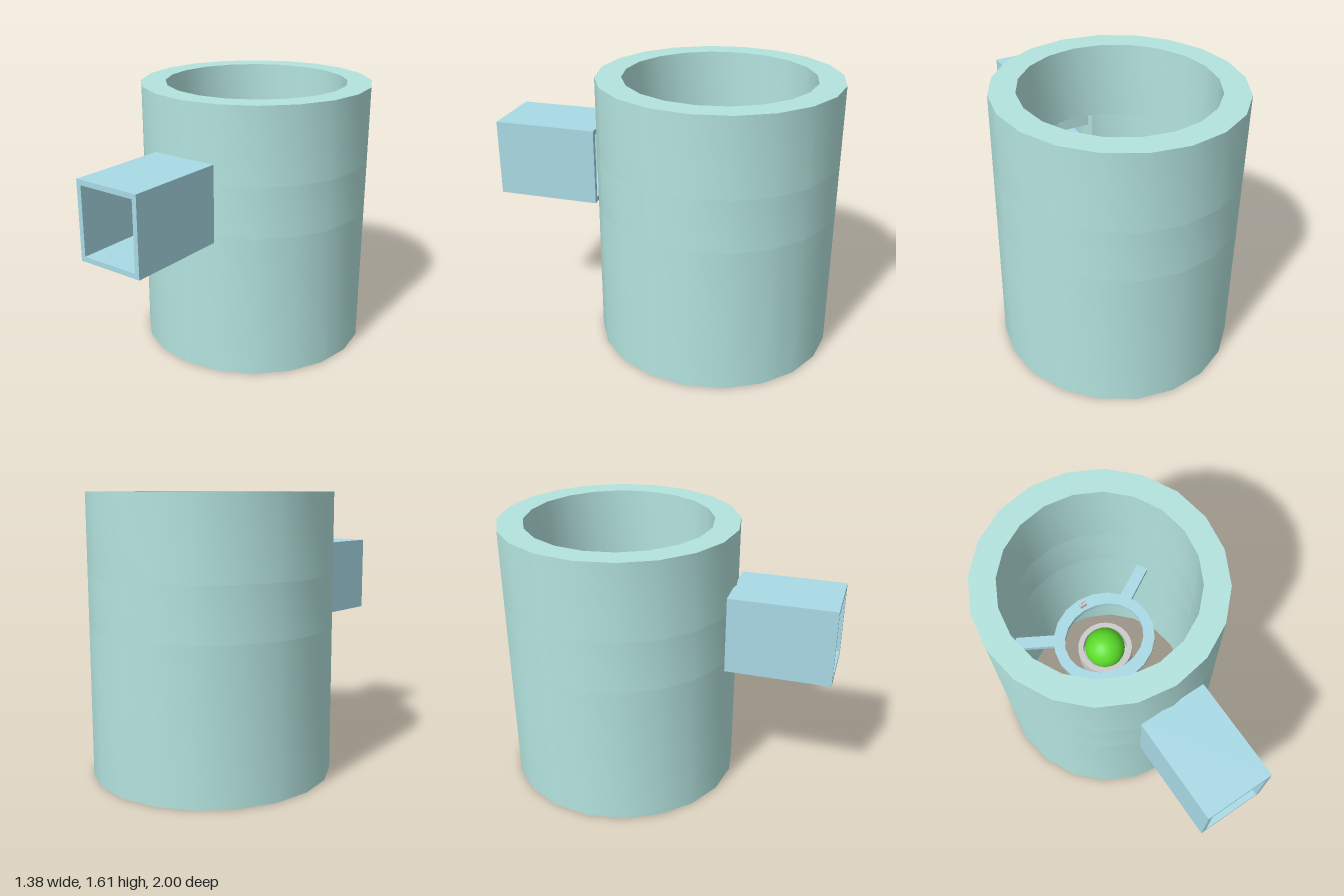
import * as THREE from 'three';
import { toCreasedNormals } from 'three/addons/utils/BufferGeometryUtils.js';

const CZ = -0.3; // z of the shaft axis
const paint = (color) => new THREE.MeshStandardMaterial({ color });

// Points of an ellipse seen from above, as (x, -z) pairs, starting at the front (+z)
function oval(rx, rz, n = 20) {
  return Array.from({ length: n }, (_, i) => {
    const a = (i / n) * Math.PI * 2;
    return new THREE.Vector2(rx * Math.sin(a), -rz * Math.cos(a));
  });
}

// Horizontal slab with an optional hole, from y0 to y1
function slab(points, hole, y0, y1) {
  const shape = new THREE.Shape(points);
  if (hole) shape.holes.push(new THREE.Path(hole));
  const g = new THREE.ExtrudeGeometry(shape, { depth: y1 - y0, bevelEnabled: false });
  g.rotateX(-Math.PI / 2);
  g.translate(0, y0, CZ);
  return toCreasedNormals(g, 0.5);
}

export function createModel() {
  const root = new THREE.Group();
  const teal = paint(0xb4e4df);
  const blue = paint(0xaadbe6);
  const green = paint(0x5cdc2a);
  const grey = paint(0xcccccc);

  function add(name, geometry, material, x = 0, y = 0, z = 0, parent = root) {
    const mesh = new THREE.Mesh(geometry, material);
    mesh.name = name;
    mesh.position.set(x, y, z);
    parent.add(mesh);
    return mesh;
  }
  const box = (w, h, d) => new THREE.BoxGeometry(w, h, d);

  // Round shaft wall: full rings below and above the doorway, an open ring beside it
  const FLOOR = 0.86, LINTEL = 1.16, TOP = 1.61, DOOR = 0.112;
  const outer = oval(0.69, 0.7), inner = oval(0.545, 0.55);
  const jamb = (ring, side) => {
    const t = DOOR / ring[1].x;
    const p = ring[0].clone().lerp(ring[1], t);
    p.x *= side;
    return p;
  };
  const open = (ring) => [jamb(ring, 1), ...ring.slice(1), jamb(ring, -1)];
  add('shaftWallLower', slab(outer, inner, 0, FLOOR), teal);
  add('shaftWallDoorLevel', slab([...open(outer), ...open(inner).reverse()], null, FLOOR, LINTEL), teal);
  add('shaftWallUpper', slab(outer, inner, LINTEL, TOP), teal);
  add('raisedDoor', box(DOOR * 2, 0.095, 0.04), teal, 0, 1.1125, 0.31);

  // Square entrance tunnel
  const rect = (S, w, y0, y1) => new S([
    new THREE.Vector2(-w, y0), new THREE.Vector2(w, y0),
    new THREE.Vector2(w, y1), new THREE.Vector2(-w, y1),
  ]);
  const frame = rect(THREE.Shape, 0.205, 0.83, 1.285);
  frame.holes.push(rect(THREE.Path, 0.177, FLOOR, 1.255));
  add('entranceTunnel', new THREE.ExtrudeGeometry(frame, { depth: 0.61, bevelEnabled: false }), blue, 0, 0, 0.39);

  // Ring walkway held by three arms
  add('walkwayRing', slab(oval(0.315, 0.3), oval(0.25, 0.22), 0.83, FLOOR), blue);
  for (let i = 0; i < 3; i++) {
    const arm = new THREE.Group();
    arm.name = 'walkwayArm';
    arm.position.z = CZ;
    arm.rotation.y = (i * Math.PI * 2) / 3;
    add('armDeck', box(0.073, 0.03, 0.28), blue, 0, 0.845, 0.415, arm);
    root.add(arm);
  }

  // Glowing ball resting in a round cup
  const cup = [[0, 0.52], [0.1, 0.52], [0.17, 0.6], [0.17, 0.7], [0.137, 0.7], [0.137, 0.62], [0, 0.56]]
    .map(([x, y]) => new THREE.Vector2(x, y));
  add('coreCup', toCreasedNormals(new THREE.LatheGeometry(cup, 32), 0.5), grey, 0, 0, CZ);
  add('coreBall', new THREE.SphereGeometry(0.125, 32, 20), green, 0, 0.7, CZ);

  // Small control desk with a handle on the back of the walkway
  const desk = new THREE.Group();
  desk.name = 'controlDesk';
  desk.position.set(0.01, FLOOR, -0.553);
  add('deskBody', box(0.045, 0.028, 0.025), grey, 0, 0.014, 0, desk);
  for (const s of [-1, 1]) add('handlePost', box(0.004, 0.024, 0.004), grey, s * 0.007, 0.04, 0, desk);
  add('handleBar', box(0.036, 0.004, 0.006), grey, 0, 0.053, 0, desk);
  root.add(desk);

  // Sloped console with a lever, against the tunnel wall
  const side = new THREE.Shape([[0.13, 0], [0.162, 0], [0.162, 0.058], [0.154, 0.058], [0.135, 0.042]]
    .map(([x, y]) => new THREE.Vector2(x, y)));
  add('wallConsole', new THREE.ExtrudeGeometry(side, { depth: 0.06, bevelEnabled: false }), grey, 0, FLOOR, 0.6);
  add('consoleLever', box(0.006, 0.03, 0.006), grey, 0.152, FLOOR + 0.067, 0.63);

  return root;
}
